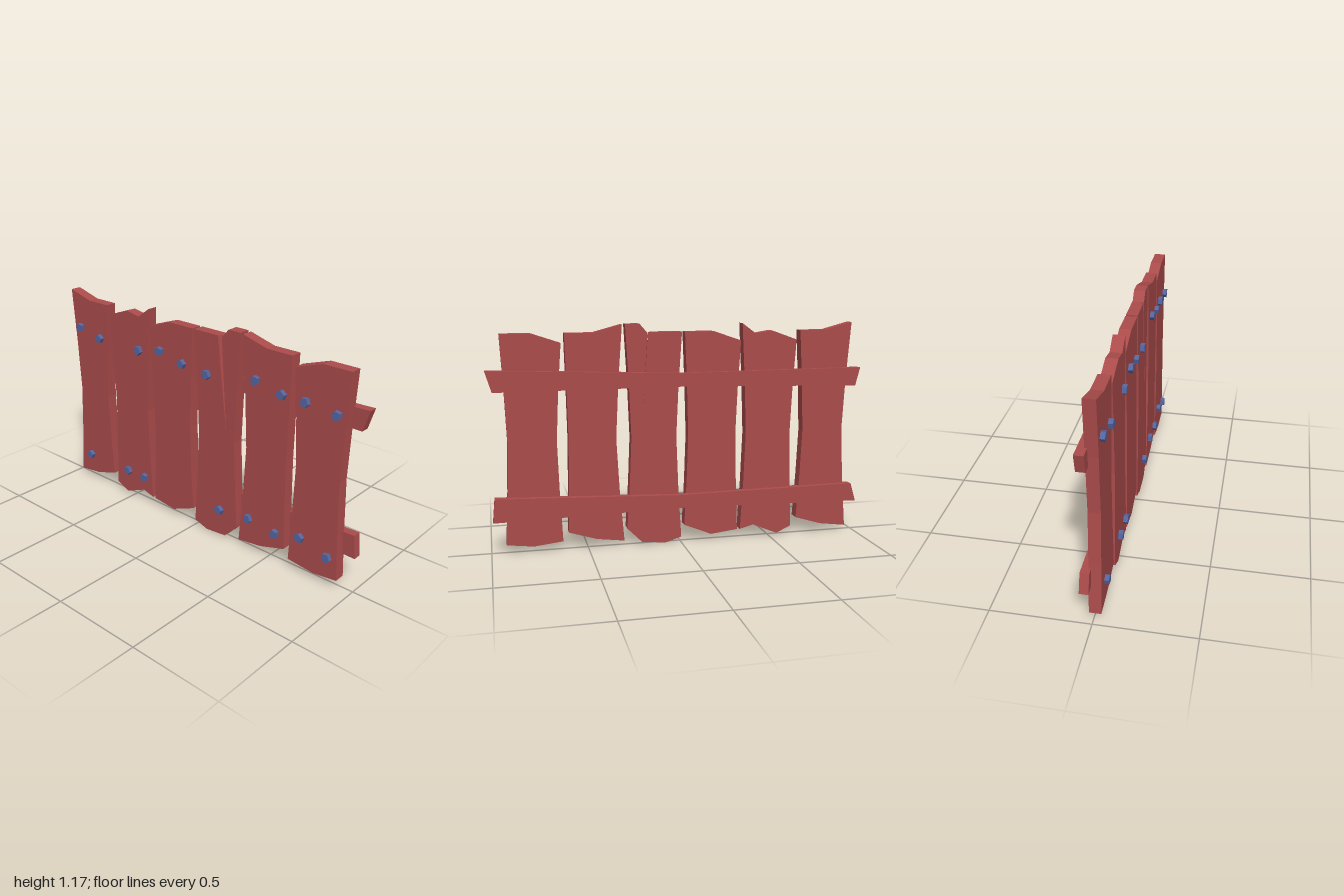
import * as THREE from 'three';

const wood = new THREE.MeshStandardMaterial({ name: 'redWood', color: 0xab4b4b });
const metal = new THREE.MeshStandardMaterial({ name: 'blueMetal', color: 0x5565a0 });

// Straight-edged outline extruded from zBack to zFront
function slab(points, zBack, zFront) {
  const shape = new THREE.Shape(points.map(([x, y]) => new THREE.Vector2(x, y)));
  const g = new THREE.ExtrudeGeometry(shape, { depth: zFront - zBack, bevelEnabled: false });
  return g.translate(0, 0, zBack);
}

// Each plank: top edge left to right, bottom edge right to left, waist x on both sides
const planks = [
  { top: [[-0.955, 1.175], [-0.805, 1.135], [-0.66, 1.135]],
    bottom: [[-0.66, 0.095], [-0.805, 0.05], [-0.955, 0.03]], waist: [-0.917, -0.687] },
  { top: [[-0.64, 1.085], [-0.5, 1.135], [-0.41, 1.12], [-0.335, 1.175]],
    bottom: [[-0.335, 0.05], [-0.41, 0.07], [-0.548, 0.012], [-0.63, 0.05]], waist: [-0.612, -0.361] },
  { top: [[-0.328, 1.085], [-0.18, 1.135], [-0.023, 1.135]],
    bottom: [[-0.02, 0.095], [-0.17, 0.033], [-0.318, 0.05]], waist: [-0.302, -0.041] },
  { top: [[-0.007, 1.135], [0.15, 1.135], [0.212, 0.615], [0.175, 1.13], [0.217, 1.178], [0.292, 1.178]],
    bottom: [[0.292, 0.095], [0.212, 0.015], [0.083, 0.003], [-0.003, 0.03]], waist: [0.024, 0.265], split: true },
  { top: [[0.308, 1.175], [0.455, 1.135], [0.602, 1.135]],
    bottom: [[0.602, 0.095], [0.455, 0.05], [0.308, 0.03]], waist: [0.345, 0.592] },
  { top: [[0.62, 1.085], [0.77, 1.135], [0.923, 1.135]],
    bottom: [[0.923, 0.05], [0.785, 0.033], [0.632, 0.05]], waist: [0.652, 0.9] },
];

function plankGeometry({ top, bottom, waist, split }) {
  const mix = (a, b, t) => a + (b - a) * t;
  const tl = top[0], tr = top[top.length - 1];
  const br = bottom[0], bl = bottom[bottom.length - 1];
  // Sides bow inwards towards the waist
  const side = (end, w) => [mix(end[0], w, 0.6), mix(end[1], 0.585, 0.5)];
  const g = slab([
    ...top, side(tr, waist[1]), [waist[1], 0.585], side(br, waist[1]),
    ...bottom, side(bl, waist[0]), [waist[0], 0.585], side(tl, waist[0]),
  ], -0.025, 0.035);
  if (split) {
    // The crack closes towards the back, so its left wall slants
    const p = g.attributes.position;
    for (let i = 0; i < p.count; i++) {
      if (p.getZ(i) < 0 && Math.abs(p.getX(i) - 0.15) < 0.002 && p.getY(i) > 1) p.setX(i, 0.173);
    }
    g.computeVertexNormals();
  }
  return g;
}

// Slightly skewed rails behind the planks
const rails = [
  ['upperRail', [[-1, 0.93], [0, 0.922], [1, 0.957], [0.967, 0.848], [0, 0.852], [-0.975, 0.832]]],
  ['lowerRail', [[-0.97, 0.28], [0, 0.27], [0.975, 0.305], [0.987, 0.18], [0, 0.2], [-1, 0.18]]],
];

// Nail head centres
const nails = [
  [-0.885, 0.965], [-0.725, 0.932], [-0.41, 0.932], [-0.25, 0.965], [-0.09, 0.932],
  [0.083, 0.915], [0.398, 0.965], [0.555, 0.932], [0.692, 0.932], [0.866, 0.915],
  [-0.857, 0.162], [-0.527, 0.162], [-0.393, 0.162], [0.177, 0.165],
  [0.374, 0.187], [0.547, 0.168], [0.7, 0.208], [0.866, 0.162],
];

export function createModel() {
  const group = new THREE.Group();
  group.name = 'fence';
  const add = (name, geometry, material) => {
    const mesh = new THREE.Mesh(geometry, material);
    mesh.name = name;
    group.add(mesh);
    return mesh;
  };

  planks.forEach((p, i) => add(`plank${i + 1}`, plankGeometry(p), wood));
  rails.forEach(([name, outline]) => add(name, slab(outline, -0.058, -0.013), wood));

  // Five-sided nail heads, each turned a little differently
  const pentagon = Array.from({ length: 5 }, (_, k) => {
    const a = (k / 5) * Math.PI * 2;
    return [Math.cos(a) * 0.027, Math.sin(a) * 0.024];
  });
  const head = slab(pentagon, 0.03, 0.058);
  nails.forEach(([x, y], i) => {
    const nail = add(`nail${i + 1}`, head, metal);
    nail.position.set(x, y, 0);
    nail.rotation.z = 0.6 + i * 2.1;
  });
  return group;
}
